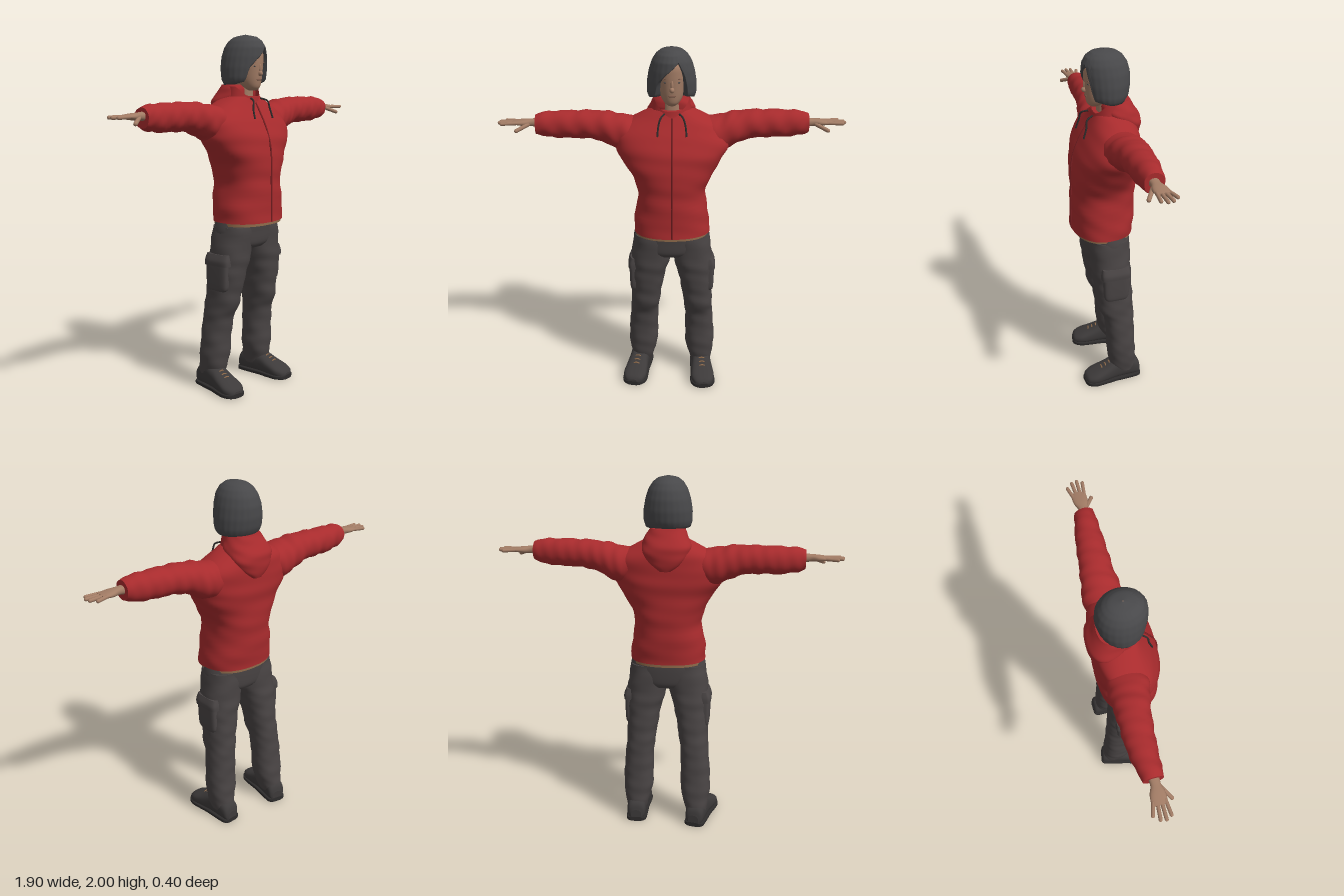
import * as THREE from 'three';

const mat = (name, color, side = THREE.FrontSide) => {
  const m = new THREE.MeshStandardMaterial({ color, side });
  m.name = name;
  return m;
};

// Smooth loft along an axis. Section: [t, aMin, aMax, bMin, bMax];
// axis y -> a = z, b = x; axis x -> a = y, b = z; axis z -> a = x, b = y.
function loft(sections, { axis = 'y', n = 40, sub = 6, pow = 2.3, fold = 0, freq = 40, caps = true } = {}) {
  const s = [...sections].sort((p, q) => p[0] - q[0]);
  const at = (i, f) => {
    const g = k => s[Math.min(Math.max(k, 0), s.length - 1)];
    return s[0].map((_, c) => {
      const [p0, p1, p2, p3] = [g(i - 1)[c], g(i)[c], g(i + 1)[c], g(i + 2)[c]];
      return 0.5 * (2 * p1 + (p2 - p0) * f + (2 * p0 - 5 * p1 + 4 * p2 - p3) * f * f + (3 * p1 - p0 - 3 * p2 + p3) * f ** 3);
    });
  };
  const pos = [], idx = [], rows = (s.length - 1) * sub;
  const put = (t, a, b) => pos.push(...(axis === 'y' ? [b, t, a] : axis === 'x' ? [t, a, b] : [a, b, t]));
  const bend = v => Math.sign(v) * Math.abs(v) ** (2 / pow);
  const ring = r => {
    const [t, a0, a1, b0, b1] = at(Math.min(Math.floor(r / sub), s.length - 2), r === rows ? 1 : (r % sub) / sub);
    for (let j = 0; j < n; j++) {
      const q = (j / n) * Math.PI * 2;
      const k = 1 + fold * (Math.sin(freq * t + 3 * Math.sin(q + 1)) + 0.7 * Math.sin(freq * 1.7 * t - 4 * Math.cos(q) + 2 * q));
      put(t, (a0 + a1) / 2 + (a1 - a0) / 2 * k * bend(Math.cos(q)), (b0 + b1) / 2 + (b1 - b0) / 2 * k * bend(Math.sin(q)));
    }
    return [t, (a0 + a1) / 2, (b0 + b1) / 2];
  };
  for (let r = 0; r <= rows; r++) ring(r);
  for (let r = 0; r < rows; r++) for (let j = 0; j < n; j++) {
    const a = r * n + j, b = r * n + (j + 1) % n;
    idx.push(a, b, b + n, a, b + n, a + n);
  }
  if (caps) for (const r of [0, rows]) {
    const base = pos.length / 3;
    put(...ring(r));
    for (let j = 0; j < n; j++) {
      const a = base + j, b = base + (j + 1) % n;
      idx.push(base + n, ...(r ? [a, b] : [b, a]));
    }
  }
  return build(pos, idx);
}

function build(pos, idx) {
  const g = new THREE.BufferGeometry();
  g.setAttribute('position', new THREE.Float32BufferAttribute(pos, 3));
  g.setIndex(idx);
  g.computeVertexNormals();
  return g;
}

// Piecewise-linear lookup in a list of [key, ...values]
function lookup(list, x, c = 1) {
  if (x <= list[0][0]) return list[0][c];
  for (let i = 1; i < list.length; i++) if (x <= list[i][0]) {
    const f = (x - list[i - 1][0]) / (list[i][0] - list[i - 1][0]);
    return list[i - 1][c] + f * (list[i][c] - list[i - 1][c]);
  }
  return list[list.length - 1][c];
}

// Bob haircut: a shell whose lower edge rises to a parted fringe at the face
function hairGeometry() {
  const edge = [[-3.2, 1.725], [-1.5, 1.73], [-0.75, 1.745], [-0.62, 1.82], [-0.3, 1.865], [0.35, 1.935], [0.58, 1.86], [0.72, 1.75], [1.5, 1.73], [3.2, 1.725]];
  // height, half width, back, front
  const shape = [[1.72, 0.118, -0.105, 0.08], [1.76, 0.132, -0.128, 0.108], [1.82, 0.132, -0.138, 0.118], [1.88, 0.122, -0.136, 0.122], [1.93, 0.106, -0.122, 0.118], [1.965, 0.084, -0.098, 0.1], [1.988, 0.055, -0.065, 0.07], [2, 0.002, -0.002, 0.004]];
  const n = 96, m = 28, pos = [], idx = [];
  for (let r = 0; r <= m + 2; r++) for (let j = 0; j < n; j++) {
    const p = (j / n) * Math.PI * 2 - Math.PI, v = Math.min(r / m, 1);
    const y = 2 - (2 - lookup(edge, p)) * v ** 1.5;
    const k = (r > m ? 1 - 0.17 * (r - m) : 1) * (1 + 0.008 * Math.sin(p * 24) * v);
    const zb = lookup(shape, y, 2), zf = lookup(shape, y, 3);
    pos.push(Math.sin(p) * lookup(shape, y) * k, y, (zb + zf) / 2 + Math.cos(p) * (zf - zb) / 2 * k);
  }
  for (let r = 0; r < m + 2; r++) for (let j = 0; j < n; j++) {
    const a = r * n + j, b = r * n + (j + 1) % n;
    idx.push(a, a + n, b + n, a, b + n, b);
  }
  return build(pos, idx);
}

export function createModel() {
  const root = new THREE.Group();
  const red = mat('jacket red', 0xa82b2d, THREE.DoubleSide), darkRed = mat('dark red trim', 0x7d2023);
  const grey = mat('trouser grey', 0x494444), black = mat('sole black', 0x2e2c2c), boot = mat('boot grey', 0x3d3a3a);
  const skin = mat('skin', 0xa27c65), lip = mat('lip and brow', 0x805c4c);
  const hair = mat('hair grey', 0x48484a, THREE.DoubleSide), tan = mat('tan lining', 0x8f6b4b);
  const add = (name, geo, m, parent = root) => {
    const mesh = new THREE.Mesh(geo, m);
    mesh.name = name;
    parent.add(mesh);
    return mesh;
  };
  const tube = (pts, r) => new THREE.TubeGeometry(new THREE.CatmullRomCurve3(pts.map(p => new THREE.Vector3(...p))), 20, r, 8);
  const ball = (name, m, p, sc) => {
    const o = add(name, new THREE.SphereGeometry(1, 20, 14), m);
    o.position.set(...p);
    o.scale.set(...sc);
  };

  // Jacket body: height, back, front, half width
  const body = [[0.975, -0.148, 0.19, 0.213], [1.06, -0.155, 0.19, 0.208], [1.2, -0.163, 0.188, 0.188], [1.3, -0.165, 0.188, 0.22],
    [1.4, -0.168, 0.18, 0.28], [1.46, -0.17, 0.163, 0.308], [1.52, -0.168, 0.138, 0.308], [1.58, -0.163, 0.105, 0.265],
    [1.63, -0.14, 0.075, 0.18], [1.665, -0.11, 0.06, 0.11]];
  add('jacket body', loft(body.map(([y, b, f, w]) => [y, b, f, -w, w]), { n: 64, fold: 0.011, freq: 38 }), red);
  add('jacket zip', tube(body.slice(0, 9).map(([y, , f]) => [0, y, f + 0.001]), 0.005), darkRed);
  add('hem lining', loft([[0.958, -0.14, 0.18, -0.205, 0.205], [1, -0.14, 0.18, -0.205, 0.205]]), tan);

  // Hood hanging behind the neck
  add('hood', loft([[1.51, -0.178, -0.14, -0.03, 0.03], [1.55, -0.19, -0.1, -0.085, 0.085], [1.61, -0.194, -0.02, -0.13, 0.13],
    [1.66, -0.178, 0.02, -0.128, 0.128], [1.7, -0.152, 0.03, -0.108, 0.108], [1.73, -0.135, 0.02, -0.09, 0.09]], { fold: 0.02, freq: 60 }), red);

  // Collar, dipping at the front
  const collar = loft([[1.61, -0.12, 0.085, -0.125, 0.125], [1.66, -0.11, 0.075, -0.108, 0.108], [1.72, -0.11, 0.07, -0.098, 0.098]], { caps: false, pow: 2 });
  const cp = collar.attributes.position;
  for (let i = 0; i < cp.count; i++) {
    const dip = THREE.MathUtils.smoothstep(cp.getZ(i), 0, 0.07) * (cp.getY(i) - 1.61) * 0.5;
    cp.setY(i, cp.getY(i) - dip);
  }
  collar.computeVertexNormals();
  add('collar', collar, red);

  for (const s of [1, -1]) {
    const side = s > 0 ? 'left' : 'right';
    const span = (p, q) => s > 0 ? [p, q] : [-q, -p];
    add(side + 'Drawstring', tube([[s * 0.04, 1.655, 0.075], [s * 0.06, 1.64, 0.11], [s * 0.072, 1.6, 0.118], [s * 0.078, 1.545, 0.135]], 0.005), black);

    // Sleeve: reach, bottom, top, back, front
    const dz = s > 0 ? 0 : -0.03, dy = s > 0 ? 0 : -0.012;
    const arm = [[0.13, 1.46, 1.6, -0.12, 0.06], [0.24, 1.42, 1.62, -0.145, 0.075], [0.32, 1.445, 1.637, -0.138, 0.065], [0.4, 1.485, 1.648, -0.125, 0.053],
      [0.5, 1.5, 1.652, -0.112, 0.05], [0.6, 1.502, 1.652, -0.1, 0.046], [0.7, 1.513, 1.647, -0.08, 0.04], [0.745, 1.53, 1.634, -0.068, 0.036]];
    const shift = x => THREE.MathUtils.smoothstep(x, 0.2, 0.6);
    add(side + 'Sleeve', loft(arm.map(([x, a, b, c, d]) => [s * x, a + dy * shift(x), b + dy * shift(x), c + dz * shift(x), d + dz * shift(x)]),
      { axis: 'x', fold: 0.03, freq: 55, pow: 2.1 }), red);

    // Hand with four fingers and a thumb
    const hand = new THREE.Group();
    hand.name = side + 'Hand';
    hand.position.set(0, dy / 2, dz);
    root.add(hand);
    add('palm', loft([[0.72, 1.558, 1.61, -0.045, 0.015], [0.77, 1.565, 1.605, -0.04, 0.012], [0.81, 1.567, 1.602, -0.054, 0.022],
      [0.85, 1.573, 1.597, -0.058, 0.022], [0.872, 1.578, 1.594, -0.05, 0.015]].map(a => [s * a[0], ...a.slice(1)]), { axis: 'x', n: 20 }), skin, hand);
    const digit = (name, p, q, r) => {
      const v = new THREE.Vector3(...q).sub(new THREE.Vector3(...p));
      const o = add(name, new THREE.CapsuleGeometry(r, v.length(), 6, 12), skin, hand);
      o.position.set(...p).addScaledVector(v, 0.5);
      o.quaternion.setFromUnitVectors(new THREE.Vector3(0, 1, 0), v.normalize());
    };
    [[-0.048, -0.066, 0.912], [-0.028, -0.036, 0.938], [-0.008, -0.008, 0.943], [0.012, 0.02, 0.928]].forEach(([z0, z1, x], i) =>
      digit('finger' + (i + 1), [s * 0.85, 1.585, z0], [s * x, 1.584, z1], 0.0095));
    digit('thumb', [s * 0.785, 1.578, 0.008], [s * 0.845, 1.553, 0.047], 0.011);

    // Trouser leg: height, inner, outer, back, front
    const leg = [[0.065, 0.12, 0.236, -0.14, 0], [0.12, 0.105, 0.245, -0.14, 0.018], [0.2, 0.085, 0.255, -0.136, 0.03], [0.3, 0.083, 0.253, -0.13, 0.032],
      [0.42, 0.08, 0.243, -0.128, 0.045], [0.5, 0.07, 0.238, -0.125, 0.077], [0.6, 0.055, 0.235, -0.12, 0.09], [0.7, 0.035, 0.236, -0.116, 0.104],
      [0.8, 0.008, 0.234, -0.112, 0.112], [0.95, 0, 0.212, -0.11, 0.12]];
    const back = y => s > 0 ? 0 : -0.04 * (1 - y / 0.95);
    add(side + 'TrouserLeg', loft(leg.map(([y, i, o, b, f]) => [y, b + back(y), f + back(y), ...span(i, o)]), { fold: 0.017, freq: 48 }), grey);

    // Cargo pocket with flap
    const bz = back(0.7) - 0.005;
    add(side + 'CargoPocket', loft([[0.59, -0.06, 0.055, 0.19, 0.236], [0.62, -0.075, 0.07, 0.18, 0.243], [0.74, -0.075, 0.075, 0.18, 0.246], [0.77, -0.07, 0.075, 0.18, 0.241]]
      .map(([y, b, f, i, o]) => [y, b + bz, f + bz, ...span(i, o)]), { pow: 4 }), grey);
    add(side + 'PocketFlap', loft([[0.735, -0.082, 0.085, 0.18, 0.251], [0.765, -0.082, 0.085, 0.18, 0.251], [0.8, -0.075, 0.08, 0.18, 0.238]]
      .map(([y, b, f, i, o]) => [y, b + bz, f + bz, ...span(i, o)]), { pow: 4 }), grey);

    // Boot: position along foot, half width, bottom, top
    const foot = new THREE.Group();
    foot.name = side + 'Boot';
    foot.position.set(s > 0 ? 0.18 : -0.2, 0, s > 0 ? 0 : -0.03);
    foot.rotation.y = s > 0 ? 0.04 : -0.2;
    root.add(foot);
    const last = [[-0.165, 0.03, 0.01, 0.07], [-0.145, 0.052, 0.006, 0.115], [-0.06, 0.057, 0.006, 0.15], [0, 0.058, 0.006, 0.13],
      [0.06, 0.065, 0.006, 0.1], [0.12, 0.068, 0.006, 0.075], [0.16, 0.05, 0.006, 0.056], [0.174, 0.025, 0.01, 0.038]];
    add('bootUpper', loft(last.map(([z, w, a, b]) => [z, -w, w, a, b]), { axis: 'z', n: 32, pow: 2.6 }), boot, foot);
    add('bootSole', loft(last.map(([z, w]) => [z + Math.sign(z) * 0.002, -w - 0.005, w + 0.005, 0, 0.026]), { axis: 'z', n: 32, pow: 5 }), black, foot);
    for (let i = 0; i < 3; i++) {
      const z = 0.025 + i * 0.024, y = lookup(last, z, 3);
      add('lace' + (i + 1), tube([[-0.038, y - 0.018, z], [0, y + 0.001, z], [0.038, y - 0.018, z]], 0.004), tan, foot);
    }
  }

  // Trouser seat
  add('trouserSeat', loft([[0.82, -0.095, 0.09, -0.13, 0.13], [0.85, -0.11, 0.112, -0.2, 0.2], [0.92, -0.118, 0.122, -0.217, 0.217], [0.985, -0.12, 0.13, -0.205, 0.205]]), grey);

  // Head and neck
  add('neck', loft([[1.58, -0.08, 0.045, -0.06, 0.06], [1.66, -0.07, 0.04, -0.05, 0.05], [1.76, -0.07, 0.04, -0.05, 0.05]]), skin);
  add('head', loft([[1.697, 0.03, 0.075, -0.02, 0.02], [1.715, -0.01, 0.093, -0.042, 0.042], [1.75, -0.06, 0.101, -0.062, 0.062], [1.8, -0.095, 0.106, -0.074, 0.074],
    [1.86, -0.108, 0.109, -0.082, 0.082], [1.91, -0.1, 0.104, -0.078, 0.078], [1.955, -0.06, 0.07, -0.045, 0.045]], { pow: 2.1 }), skin);
  ball('nose', skin, [0, 1.79, 0.107], [0.013, 0.015, 0.016]);
  ball('noseBridge', skin, [0, 1.815, 0.104], [0.008, 0.03, 0.01]);
  ball('mouth', lip, [0, 1.756, 0.1], [0.021, 0.006, 0.005]);
  for (const s of [1, -1]) {
    ball('eye', hair, [s * 0.032, 1.828, 0.096], [0.012, 0.004, 0.004]);
    ball('brow', lip, [s * 0.034, 1.847, 0.097], [0.016, 0.003, 0.004]);
  }
  add('hair', hairGeometry(), hair);
  return root;
}
